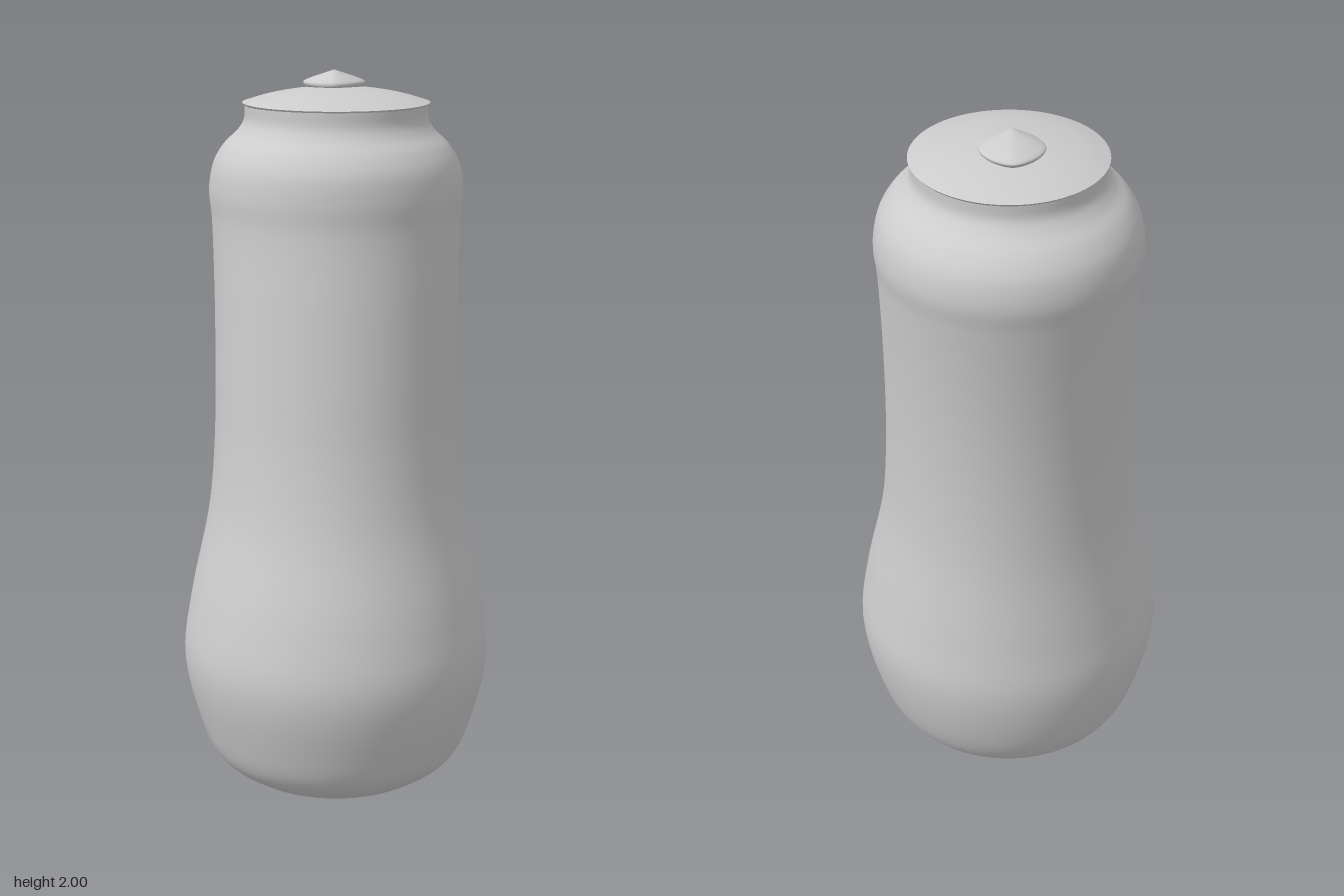
import * as THREE from 'three';

const SEGMENTS = 72;

// Closed loft through horizontal ovals: [y, half width, front z, back z]
function loft(sections, steps, shape = (a) => [Math.cos(a), Math.sin(a)], cx = 0) {
  const spread = (k) => new THREE.CatmullRomCurve3(
    sections.map((s) => new THREE.Vector3(s[1], s[0], s[k])), false, 'centripetal').getPoints(steps);
  const front = spread(2), back = spread(3);
  const pos = [], index = [];
  front.forEach((f, i) => {
    const b = back[i];
    for (let j = 0; j < SEGMENTS; j++) {
      const [c, s] = shape((j / SEGMENTS) * Math.PI * 2);
      pos.push(cx + ((f.x + b.x) / 2) * c, (f.y + b.y) / 2 + ((f.y - b.y) / 2) * s,
        (f.z + b.z) / 2 + ((f.z - b.z) / 2) * s);
    }
    if (!i) return;
    for (let j = 0; j < SEGMENTS; j++) {
      const k = (j + 1) % SEGMENTS, lo = (i - 1) * SEGMENTS, hi = i * SEGMENTS;
      index.push(lo + j, hi + j, lo + k, lo + k, hi + j, hi + k);
    }
  });
  const g = new THREE.BufferGeometry();
  g.setAttribute('position', new THREE.Float32BufferAttribute(pos, 3));
  g.setIndex(index);
  g.computeVertexNormals();
  return g;
}

export function createModel() {
  const model = new THREE.Group();
  const grey = new THREE.MeshStandardMaterial({ color: 0xcccccc });
  const add = (name, geometry) => {
    const mesh = new THREE.Mesh(geometry, grey);
    mesh.name = name;
    model.add(mesh);
    return mesh;
  };

  // Leaning bottle body: bulging foot, slim waist, rounded shoulder and neck
  add('body', loft([
    [0, 0.19, 0.215, -0.18],
    [0.04, 0.28, 0.305, -0.265],
    [0.1, 0.35, 0.38, -0.335],
    [0.2, 0.392, 0.422, -0.383],
    [0.38, 0.43, 0.46, -0.417],
    [0.55, 0.409, 0.433, -0.404],
    [0.8, 0.357, 0.362, -0.381],
    [1.0, 0.34, 0.326, -0.378],
    [1.2, 0.336, 0.305, -0.388],
    [1.4, 0.337, 0.284, -0.41],
    [1.6, 0.343, 0.263, -0.441],
    [1.68, 0.35, 0.264, -0.455],
    [1.75, 0.338, 0.255, -0.444],
    [1.8, 0.31, 0.228, -0.412],
    [1.84, 0.27, 0.192, -0.368],
    [1.87, 0.252, 0.177, -0.348],
    [1.915, 0.25, 0.174, -0.346],
  ], 100));

  // Flat underside
  const base = add('base', new THREE.CircleGeometry(1, SEGMENTS));
  base.rotation.x = Math.PI / 2;
  base.scale.set(0.19, 0.1975, 1);
  base.position.z = 0.0175;

  // Thin lid with a crisp rim and a shallow dome
  add('lidRim', loft([
    [1.905, 0.247, 0.17, -0.343],
    [1.915, 0.256, 0.177, -0.352],
  ], 2));
  add('lidDome', loft([
    [1.915, 0.256, 0.177, -0.352],
    [1.932, 0.2, 0.118, -0.293],
    [1.946, 0.13, 0.045, -0.22],
    [1.954, 0.06, -0.027, -0.148],
    [1.956, 0.001, -0.086, -0.088],
  ], 20));

  // Pointed knob: rounded diamond outline, peak towards the front
  const diamond = (a) => {
    const c = Math.cos(a), s = Math.sin(a);
    const r = 1 / Math.pow(Math.abs(c) ** 1.65 + Math.abs(s) ** 1.65, 1 / 1.65);
    return [c * r, s * r];
  };
  add('knob', loft([
    [1.945, 0.062, -0.07, -0.215],
    [1.957, 0.083, -0.051, -0.236],
    [1.965, 0.085, -0.05, -0.24],
    [1.977, 0.062, -0.064, -0.214],
    [1.988, 0.032, -0.085, -0.168],
    [2.0, 0.001, -0.107, -0.109],
  ], 24, diamond, -0.006));

  return model;
}
